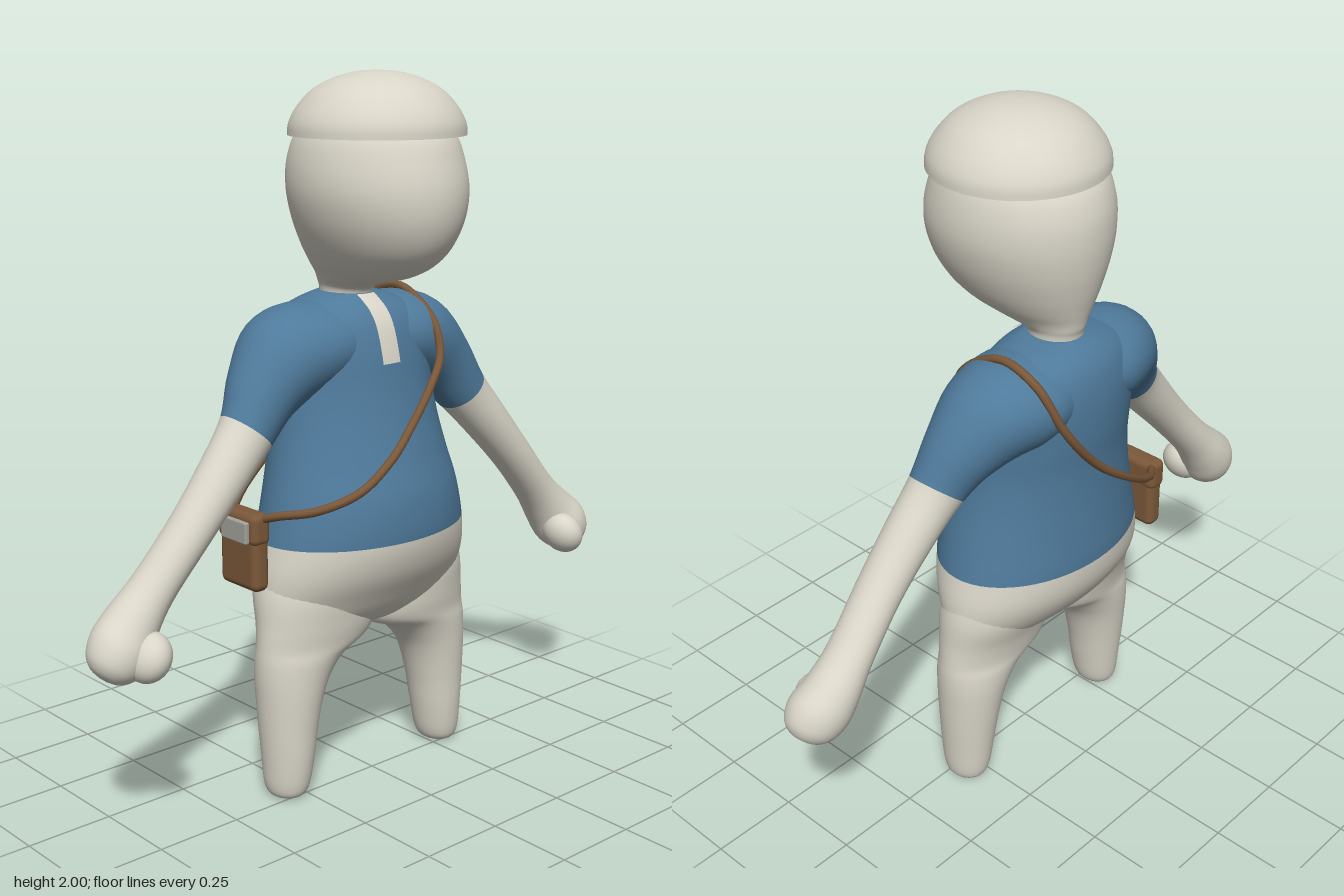
import * as THREE from 'three';
import { RoundedBoxGeometry } from 'three/addons/geometries/RoundedBoxGeometry.js';

const mat = (name, color) => {
  const m = new THREE.MeshStandardMaterial({ color });
  m.name = name;
  return m;
};

// Catmull-Rom through rows of numbers; s is a row index with fraction
function sample(rows, s) {
  const n = rows.length - 1;
  const i = Math.min(Math.floor(s), n - 1), t = s - i;
  const a = rows[Math.max(i - 1, 0)], b = rows[i], c = rows[i + 1], d = rows[Math.min(i + 2, n)];
  return b.map((_, k) => {
    const m0 = (c[k] - a[k]) / 2, m1 = (d[k] - b[k]) / 2;
    return (2 * t ** 3 - 3 * t * t + 1) * b[k] + (t ** 3 - 2 * t * t + t) * m0
      + (3 * t * t - 2 * t ** 3) * c[k] + (t ** 3 - t * t) * m1;
  });
}

// Smooth limb from ellipses: rows are [x, y, z, half width, half depth].
// Level rings stay horizontal; otherwise they turn with the path in the xy plane.
// Rows before the split use material 0, later ones material 1.
function loft(rows, { level = true, split = 0, sides = 40, steps = 5 } = {}) {
  const pos = [], idx = [], total = (rows.length - 1) * steps;
  for (let i = 0; i <= total; i++) {
    const s = i / steps;
    const [x, y, z, w, d] = sample(rows, s);
    let nx = 1, ny = 0;
    if (!level) {
      const p = sample(rows, Math.max(s - 0.1, 0)), q = sample(rows, Math.min(s + 0.1, rows.length - 1));
      const tx = q[0] - p[0], ty = q[1] - p[1], l = Math.hypot(tx, ty);
      nx = ty / l;
      ny = -tx / l;
    }
    for (let j = 0; j < sides; j++) {
      const a = j / sides * Math.PI * 2, u = Math.sin(a) * w;
      pos.push(x + nx * u, y + ny * u, z + Math.cos(a) * d);
    }
  }
  const first = pos.length / 3, last = first + 1, top = total * sides;
  pos.push(...rows[0].slice(0, 3), ...rows[rows.length - 1].slice(0, 3));
  for (let j = 0; j < sides; j++) idx.push(first, (j + 1) % sides, j);
  for (let i = 0; i < total; i++) {
    for (let j = 0; j < sides; j++) {
      const k = (j + 1) % sides, a = i * sides + j, b = i * sides + k;
      idx.push(a, b, b + sides, a, b + sides, a + sides);
    }
  }
  for (let j = 0; j < sides; j++) idx.push(last, top + j, top + (j + 1) % sides);
  const g = new THREE.BufferGeometry();
  g.setAttribute('position', new THREE.Float32BufferAttribute(pos, 3));
  g.setIndex(idx);
  g.computeVertexNormals();
  if (split) {
    const cut = sides * 3 + split * steps * sides * 6;
    g.addGroup(0, cut, 0);
    g.addGroup(cut, idx.length - cut, 1);
  }
  return g;
}

// Upright rows [y, half width, front z, back z] to loft rows
const upright = rows => rows.map(([y, w, f, b]) => [0, y, (f + b) / 2, w, (f - b) / 2]);

export function createModel() {
  const cream = mat('cream', 0xd9d5c8), blue = mat('shirtBlue', 0x4f7a9b);
  const brown = mat('leatherBrown', 0x7b5839), grey = mat('buckleGrey', 0xa3a39d);
  const model = new THREE.Group();
  const add = (name, geometry, material) => {
    const m = new THREE.Mesh(geometry, material);
    m.name = name;
    model.add(m);
    return m;
  };

  // Hips and shirt
  const torso = upright([
    [0.452, 0.03, -0.03, -0.06], [0.47, 0.18, 0.03, -0.11], [0.51, 0.32, 0.075, -0.165],
    [0.57, 0.35, 0.115, -0.22], [0.65, 0.352, 0.16, -0.265], [0.74, 0.335, 0.182, -0.28],
    [0.85, 0.31, 0.175, -0.275], [0.95, 0.285, 0.145, -0.27], [1.05, 0.267, 0.115, -0.27],
    [1.15, 0.262, 0.09, -0.278], [1.25, 0.268, 0.07, -0.278], [1.32, 0.25, 0.048, -0.265],
    [1.36, 0.205, 0.022, -0.245], [1.385, 0.14, -0.008, -0.22], [1.402, 0.07, -0.03, -0.19],
  ]);
  add('hipsAndShirt', loft(torso, { split: 5, sides: 56 }), [cream, blue]);

  // Head with neck
  add('head', loft(upright([
    [1.37, 0.07, -0.03, -0.185], [1.41, 0.07, -0.025, -0.19], [1.43, 0.08, 0.02, -0.197],
    [1.455, 0.105, 0.125, -0.203], [1.49, 0.14, 0.2, -0.213], [1.54, 0.175, 0.25, -0.227],
    [1.61, 0.208, 0.28, -0.242], [1.69, 0.227, 0.286, -0.25], [1.77, 0.223, 0.268, -0.243],
    [1.84, 0.2, 0.235, -0.21], [1.89, 0.15, 0.16, -0.13],
  ]), { sides: 48 }), cream);

  // Domed cap, closed underneath
  const dome = new THREE.SplineCurve([[0.24, 1.832], [0.236, 1.865], [0.215, 1.905],
    [0.175, 1.948], [0.12, 1.978], [0.06, 1.995], [0, 2]].map(p => new THREE.Vector2(...p)));
  add('cap', new THREE.LatheGeometry(dome.getPoints(24), 48), cream).position.z = 0.02;
  const under = add('capUnderside', new THREE.CircleGeometry(0.24, 48), cream);
  under.rotation.x = Math.PI / 2;
  under.position.set(0, 1.832, 0.02);

  for (const [side, s] of [['left', 1], ['right', -1]]) {
    // Legs: [y, inner x, outer x, front z, back z]
    const leg = [
      [0, 0.275, 0.315, -0.01, -0.06], [0.008, 0.248, 0.342, 0.02, -0.09],
      [0.04, 0.23, 0.355, 0.035, -0.105], [0.12, 0.215, 0.361, 0.045, -0.115],
      [0.21, 0.2, 0.367, 0.05, -0.125], [0.3, 0.176, 0.372, 0.056, -0.135],
      [0.36, 0.143, 0.375, 0.06, -0.142], [0.41, 0.088, 0.375, 0.065, -0.147],
      [0.45, 0, 0.372, 0.07, -0.152], [0.51, -0.02, 0.367, 0.078, -0.165],
      [0.6, 0, 0.36, 0.08, -0.19], [0.7, 0.04, 0.335, 0.05, -0.18],
    ].map(([y, a, b, f, k]) => [s * (a + b) / 2, y, (f + k) / 2, (b - a) / 2, (f - k) / 2]);
    add(side + 'Leg', loft(leg), cream);

    // Arms: sleeve, forearm and rounded hand
    const arm = [
      [0.06, 1.265, -0.105, 0.11, 0.15], [0.15, 1.262, -0.107, 0.125, 0.162],
      [0.24, 1.235, -0.1, 0.131, 0.145], [0.325, 1.165, -0.08, 0.103, 0.108],
      [0.4, 1.07, -0.055, 0.079, 0.078], [0.5, 0.958, -0.042, 0.068, 0.07],
      [0.61, 0.835, -0.038, 0.06, 0.066], [0.72, 0.71, -0.045, 0.06, 0.067],
      [0.785, 0.635, -0.045, 0.074, 0.076], [0.83, 0.58, -0.035, 0.086, 0.084],
      [0.865, 0.54, -0.03, 0.073, 0.072], [0.884, 0.518, -0.028, 0.045, 0.045],
      [0.89, 0.511, -0.027, 0.012, 0.012],
    ].map(([x, ...rest]) => [s * x, ...rest]);
    add(side + 'Arm', loft(arm, { level: false, split: 4 }), [blue, cream]);
    const thumb = add(side + 'Thumb', new THREE.SphereGeometry(1, 24, 16), cream);
    thumb.scale.set(0.055, 0.068, 0.068);
    thumb.position.set(s * 0.785, 0.56, 0.025);
    thumb.rotation.z = s * 0.5;
  }

  // Collar placket, laid on the chest
  const placket = new THREE.PlaneGeometry(0.062, 0.18, 6, 24).translate(0, 1.31, 0);
  const p = placket.attributes.position;
  for (let i = 0; i < p.count; i++) {
    const y = p.getY(i);
    let k = 9;
    while (k < torso.length - 2 && torso[k + 1][1] < y) k++;
    let lo = k, hi = k + 1;
    for (let n = 0; n < 20; n++) {
      const mid = (lo + hi) / 2;
      if (sample(torso, mid)[1] < y) lo = mid; else hi = mid;
    }
    const [, , z, w, d] = sample(torso, lo);
    p.setZ(i, z + d * Math.sqrt(1 - (p.getX(i) / w) ** 2) + 0.006);
  }
  placket.computeVertexNormals();
  add('placket', placket, cream);

  // Shoulder strap
  const strap = new THREE.CatmullRomCurve3([
    [-0.365, 0.82, -0.05], [-0.35, 0.84, 0.01], [-0.295, 0.865, 0.11], [-0.2, 0.912, 0.175],
    [-0.09, 0.985, 0.18], [0, 1.048, 0.153], [0.12, 1.145, 0.11], [0.185, 1.215, 0.078],
    [0.2, 1.3, 0.04], [0.203, 1.365, -0.04], [0.203, 1.392, -0.12], [0.2, 1.355, -0.225],
    [0.15, 1.22, -0.28], [0.03, 1.07, -0.288], [-0.13, 0.945, -0.277], [-0.27, 0.86, -0.235],
    [-0.365, 0.82, -0.17],
  ].map(q => new THREE.Vector3(...q)));
  add('strap', new THREE.TubeGeometry(strap, 160, 0.012, 8), brown);

  // Hip bag with flap and buckle
  add('bag', new RoundedBoxGeometry(0.056, 0.22, 0.16, 4, 0.022), brown).position.set(-0.37, 0.728, -0.11);
  add('bagFlap', new RoundedBoxGeometry(0.062, 0.09, 0.168, 4, 0.02), brown).position.set(-0.371, 0.795, -0.11);
  add('buckle', new RoundedBoxGeometry(0.016, 0.062, 0.11, 2, 0.005), grey).position.set(-0.409, 0.79, -0.1);

  return model;
}
